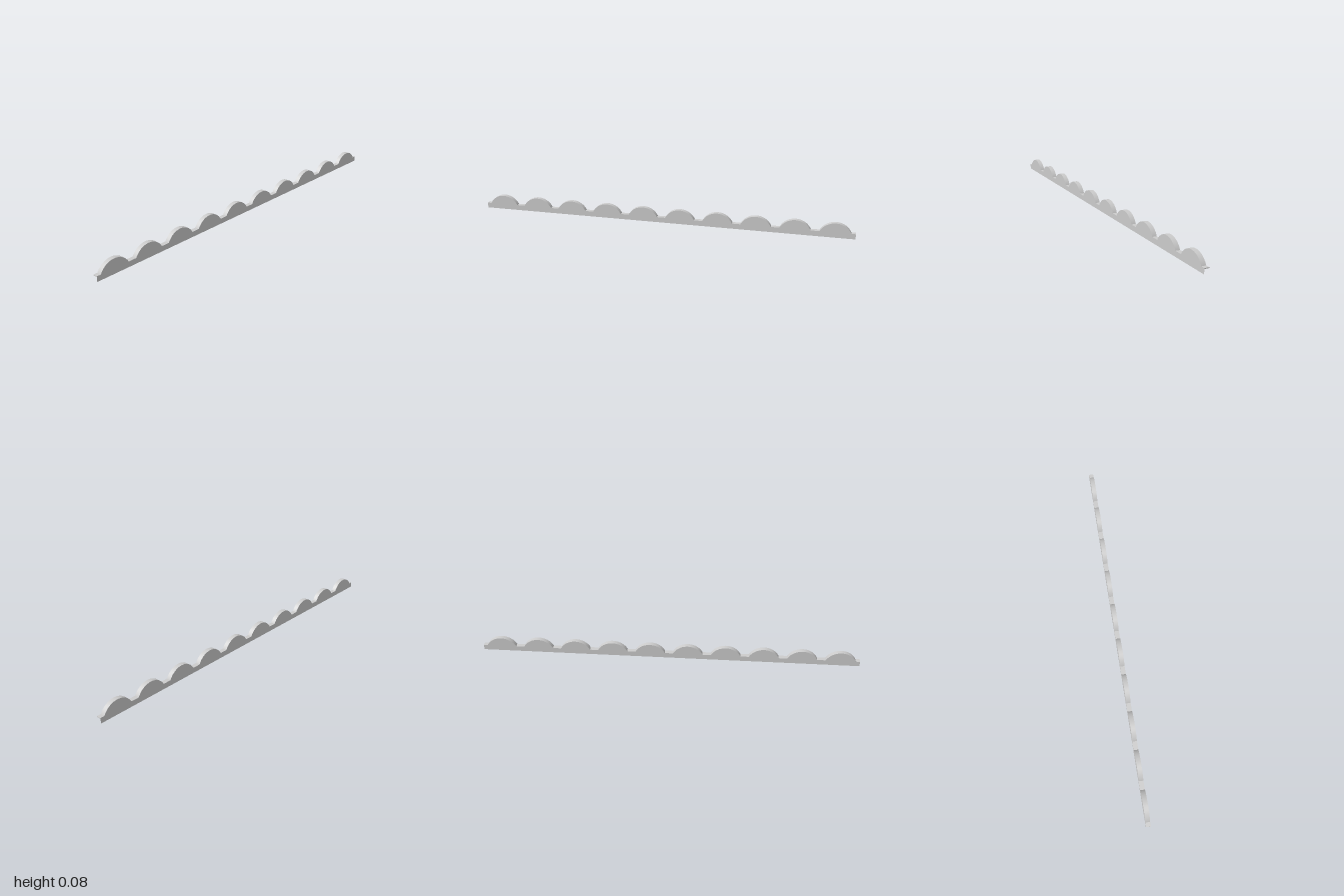
import * as THREE from 'three';

const HALF = 1, DEPTH = 0.024, BASE = 0.024, LEDGE = 0.028, TOP = 0.076;
const COUNT = 10, PITCH = 0.2, HUMP = 0.078;

export function createModel() {
  const group = new THREE.Group();
  group.name = 'scallopedTrim';
  const material = new THREE.MeshStandardMaterial({ color: 0xcccccc });

  // Scalloped upper strip: a thin ledge carrying a row of round arches
  const rise = TOP - LEDGE;
  const radius = (HUMP * HUMP + rise * rise) / (2 * rise);
  const centreY = TOP - radius;
  const angle = Math.asin(HUMP / radius);
  const shape = new THREE.Shape();
  shape.moveTo(-HALF, BASE);
  shape.lineTo(HALF, BASE);
  shape.lineTo(HALF, LEDGE);
  for (let i = COUNT - 1; i >= 0; i--) {
    const x = (i - (COUNT - 1) / 2) * PITCH;
    shape.absarc(x, centreY, radius, Math.PI / 2 - angle, Math.PI / 2 + angle, false);
  }
  shape.lineTo(-HALF, LEDGE);
  shape.closePath();
  const stripGeometry = new THREE.ExtrudeGeometry(shape, {
    depth: DEPTH, bevelEnabled: false, curveSegments: 20,
  });
  stripGeometry.translate(0, 0, -DEPTH / 2);
  const strip = new THREE.Mesh(stripGeometry, material);
  strip.name = 'scallopedStrip';
  group.add(strip);

  // Base rail with open ends: front wall, back wall and underside
  const rail = new THREE.Group();
  rail.name = 'baseRail';
  const addPanel = (name, height, y, z, rx, ry) => {
    const panel = new THREE.Mesh(new THREE.PlaneGeometry(2 * HALF, height), material);
    panel.name = name;
    panel.position.set(0, y, z);
    panel.rotation.set(rx, ry, 0);
    rail.add(panel);
  };
  addPanel('frontWall', BASE, BASE / 2, DEPTH / 2, 0, 0);
  addPanel('backWall', BASE, BASE / 2, -DEPTH / 2, 0, Math.PI);
  addPanel('underside', DEPTH, 0, 0, Math.PI / 2, 0);
  group.add(rail);

  return group;
}
